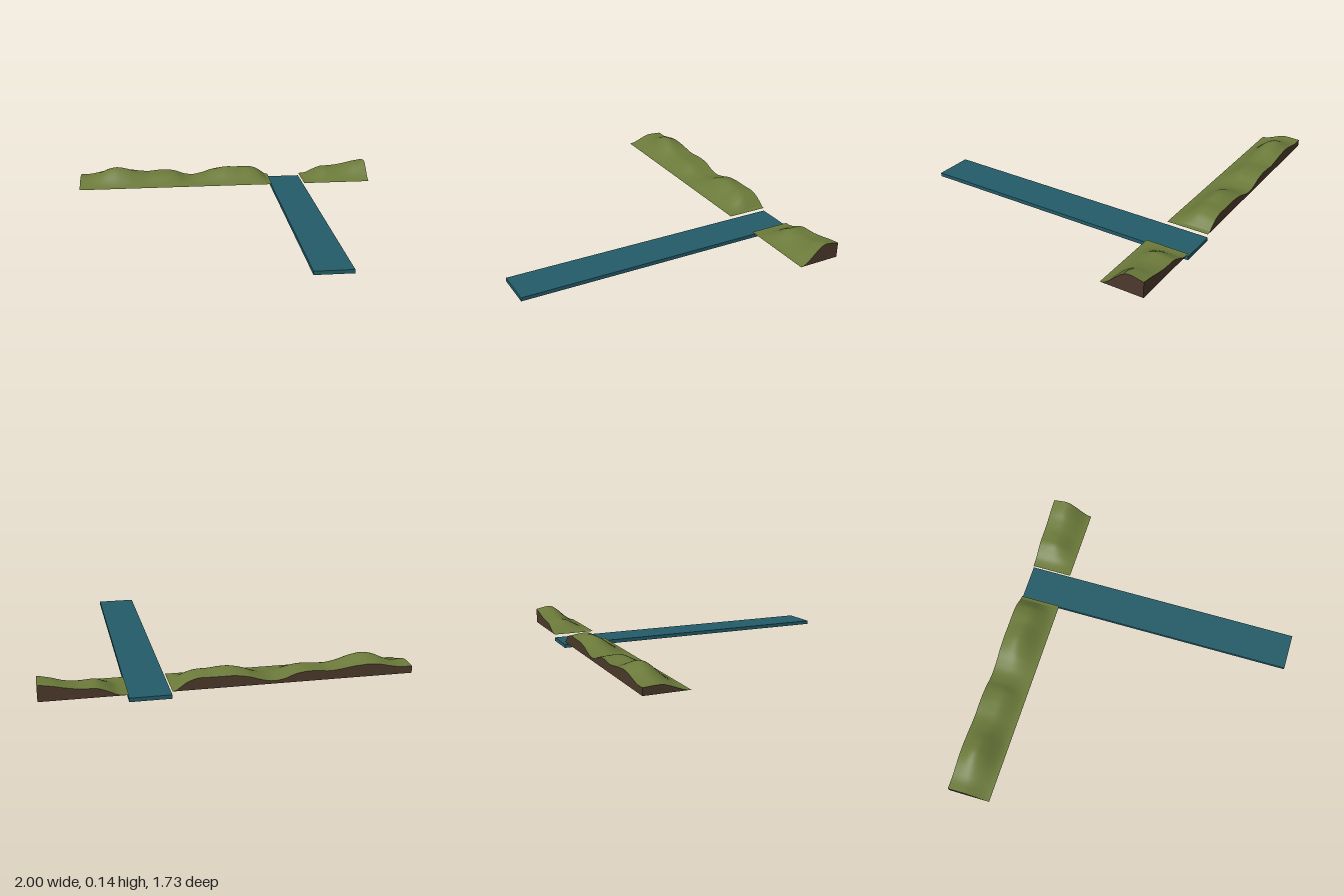
import * as THREE from 'three';

const FRONT = -0.615, BACK = -0.865, BASE = 0.04;
const grass = new THREE.MeshStandardMaterial({ color: 0x6b7a3a, side: THREE.DoubleSide });
grass.name = 'grass green';
const earth = new THREE.MeshStandardMaterial({ color: 0x4c392b, side: THREE.DoubleSide });
earth.name = 'earth brown';
const water = new THREE.MeshStandardMaterial({ color: 0x235b68 });
water.name = 'river teal';

// Smooth sheet through equal-length rows of points
function sheet(rows, material, name) {
  const n = rows[0].length, index = [];
  for (let i = 0; i < rows.length - 1; i++) {
    for (let j = 0; j < n - 1; j++) {
      const a = i * n + j, b = a + n;
      index.push(a, b, b + 1, a, b + 1, a + 1);
    }
  }
  const geometry = new THREE.BufferGeometry().setFromPoints(rows.flat());
  geometry.setIndex(index);
  geometry.computeVertexNormals();
  const mesh = new THREE.Mesh(geometry, material);
  mesh.name = name;
  return mesh;
}

const floor = (p) => new THREE.Vector3(p.x, BASE, p.z);

// Ridge stations: x, crest height above the base, share of it kept at the back edge
function bank(name, stations, steps) {
  const group = new THREE.Group();
  group.name = name;
  const crest = new THREE.CatmullRomCurve3(stations.map((s) => new THREE.Vector3(...s)));
  const rows = crest.getPoints(steps).map(({ x, y, z: keep }) => {
    const row = [];
    const top = 0.62 + 0.05 * Math.sin(x * 7 + 1.5); // the crest line wanders
    for (let j = 0; j <= 20; j++) {
      const t = j / 20;
      const rise = THREE.MathUtils.smoothstep(t, 0, top);
      const fall = 1 - (1 - keep) * THREE.MathUtils.smoothstep(t, top, 1.08) / 0.95;
      row.push(new THREE.Vector3(x, BASE + Math.max(0, y) * rise * fall,
        THREE.MathUtils.lerp(FRONT, BACK, t)));
    }
    return row;
  });
  const backEdge = rows.map((r) => r[20]);
  const first = rows[0], last = rows[rows.length - 1];
  group.add(
    sheet(rows, grass, 'grassySlope'),
    sheet(backEdge.map((p) => [p, floor(p)]), earth, 'backEarthWall'),
    sheet(first.map((p) => [p, floor(p)]), earth, 'rightEarthWall'),
    sheet(last.map((p) => [floor(p), p]), earth, 'leftEarthWall'),
  );
  return group;
}

export function createModel() {
  const model = new THREE.Group();
  model.name = 'riverBankTerrain';

  // Long bank on the right of the river
  model.add(bank('longBank', [
    [-1, 0.045, 0.9], [-0.94, 0.044, 0.9], [-0.87, 0.064, 0.8], [-0.8, 0.095, 0.68],
    [-0.75, 0.105, 0.65], [-0.69, 0.096, 0.68], [-0.6, 0.064, 0.85], [-0.53, 0.051, 0.95],
    [-0.46, 0.055, 1], [-0.4, 0.058, 0.95], [-0.34, 0.05, 0.9], [-0.28, 0.026, 0.9],
    [-0.22, 0.018, 0.9], [-0.15, 0.035, 0.85], [-0.08, 0.065, 0.78], [0, 0.085, 0.72],
    [0.05, 0.085, 0.72], [0.11, 0.078, 0.8], [0.18, 0.074, 0.85], [0.23, 0.058, 0.85],
    [0.28, 0.019, 0.9], [0.3, 0.004, 1], [0.317, 0, 1],
  ], 132));

  // Short bank on the left of the river
  model.add(bank('shortBank', [
    [0.543, 0, 1], [0.565, 0.001, 1], [0.6, 0.008, 0.95], [0.65, 0.036, 0.85],
    [0.7, 0.06, 0.8], [0.75, 0.06, 0.85], [0.81, 0.059, 0.95], [0.87, 0.07, 0.95],
    [0.93, 0.09, 0.88], [1, 0.105, 0.86],
  ], 54));

  // Flat river running from the banks to the front
  const river = new THREE.Mesh(new THREE.BoxGeometry(0.224, 0.022, 1.73), water);
  river.name = 'river';
  river.position.set(0.43, 0.011, 0);
  model.add(river);

  return model;
}
